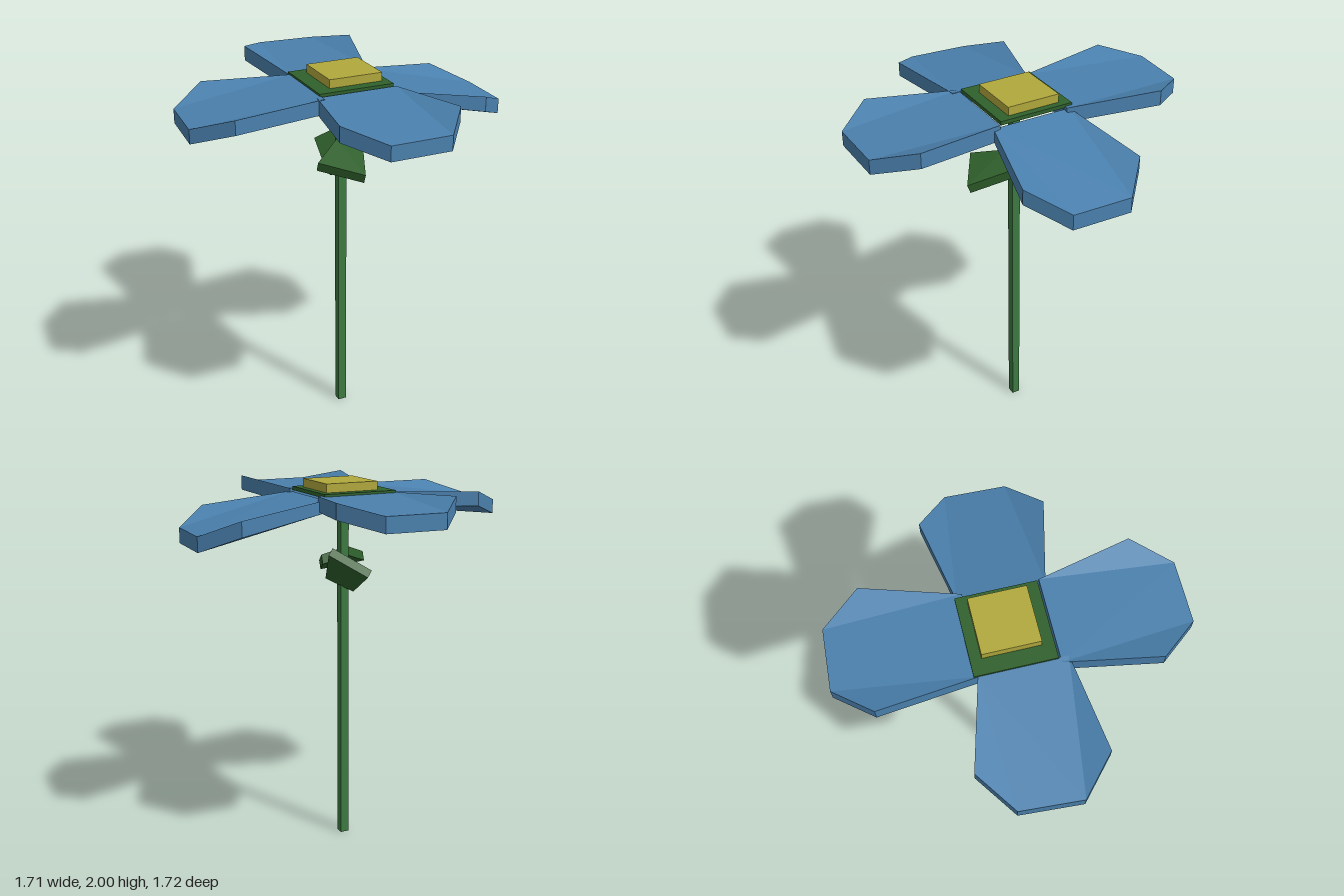
import * as THREE from 'three';

const mat = (color) => new THREE.MeshStandardMaterial({ color, flatShading: true });

// Slab between two loops of corners, both counter-clockwise seen from above.
function slab(name, top, bottom, caps, material) {
  const pos = [];
  const tri = (a, b, c) => pos.push(...a, ...b, ...c);
  for (const [i, j, k] of caps) {
    tri(top[i], top[j], top[k]);
    tri(bottom[i], bottom[k], bottom[j]);
  }
  top.forEach((a, i) => {
    const n = (i + 1) % top.length;
    tri(a, bottom[i], bottom[n]);
    tri(a, bottom[n], top[n]);
  });
  const geometry = new THREE.BufferGeometry();
  geometry.setAttribute('position', new THREE.Float32BufferAttribute(pos, 3));
  geometry.computeVertexNormals();
  const mesh = new THREE.Mesh(geometry, material);
  mesh.name = name;
  return mesh;
}

function box(name, min, max, material) {
  const size = max.map((v, i) => v - min[i]);
  const mesh = new THREE.Mesh(new THREE.BoxGeometry(...size), material);
  mesh.position.set(...max.map((v, i) => (v + min[i]) / 2));
  mesh.name = name;
  return mesh;
}

export function createModel() {
  const group = new THREE.Group();
  group.name = 'flower';
  const blue = mat(0x4a80ad), stemGreen = mat(0x3c7a40);
  const leafGreen = mat(0x2f602c), yellow = mat(0xb0a83c);

  // Stem and the stacked centre of the bloom
  group.add(
    box('stem', [-0.022, 0, -0.022], [0.025, 1.93, 0.022], stemGreen),
    box('bloomBase', [-0.15, 1.92, -0.155], [0.155, 1.94, 0.14], leafGreen),
    box('bloomPlate', [-0.2, 1.935, -0.21], [0.205, 1.955, 0.19], leafGreen),
    box('bloomCentre', [-0.12, 1.95, -0.155], [0.17, 2, 0.13], yellow),
  );

  // Petals: x, z outline from root to shoulder to tip and back,
  // with [top, bottom] heights at root, shoulder and tip
  const petals = [
    ['leftPetal', [[0.2, 0.23], [0.66, 0.34], [0.84, 0.185], [0.85, -0.125], [0.68, -0.285], [0.2, -0.2]],
      [[1.925, 1.862], [1.865, 1.785], [1.78, 1.7]]],
    ['backPetal', [[0.225, -0.17], [0.355, -0.64], [0.205, -0.84], [-0.105, -0.86], [-0.265, -0.68], [-0.2, -0.185]],
      [[1.943, 1.865], [1.975, 1.895], [1.93, 1.85]]],
    ['rightPetal', [[-0.195, -0.19], [-0.64, -0.31], [-0.835, -0.16], [-0.855, 0.15], [-0.68, 0.31], [-0.195, 0.24]],
      [[1.945, 1.868], [1.935, 1.86], [1.865, 1.79]]],
    ['frontPetal', [[-0.22, 0.2], [-0.315, 0.665], [-0.155, 0.855], [0.16, 0.855], [0.31, 0.665], [0.215, 0.2]],
      [[1.943, 1.86], [1.97, 1.89], [1.917, 1.84]]],
  ];
  const petalCaps = [[0, 1, 2], [0, 2, 3], [0, 3, 5], [5, 3, 4]];
  const level = [0, 1, 2, 2, 1, 0];
  for (const [name, outline, heights] of petals) {
    const loop = (side) => outline.map(([x, z], i) => [x, heights[level[i]][side], z]);
    group.add(slab(name, loop(0), loop(1), petalCaps, blue));
  }

  // Two tilted leaves on the stem
  const leaves = [
    ['frontLeaf', [[0.01, 1.525, 0.28], [0.1, 1.6, 0.06], [-0.04, 1.64, 0.03], [-0.195, 1.58, 0.15]], [0, -0.048, -0.018]],
    ['backLeaf', [[-0.065, 1.44, -0.035], [0.063, 1.51, 0.04], [0.125, 1.667, -0.13], [-0.045, 1.555, -0.24]], [0.03, -0.033, -0.015]],
  ];
  for (const [name, top, offset] of leaves) {
    const bottom = top.map((p) => p.map((v, i) => v + offset[i]));
    group.add(slab(name, top, bottom, [[0, 1, 2], [0, 2, 3]], leafGreen));
  }
  return group;
}
